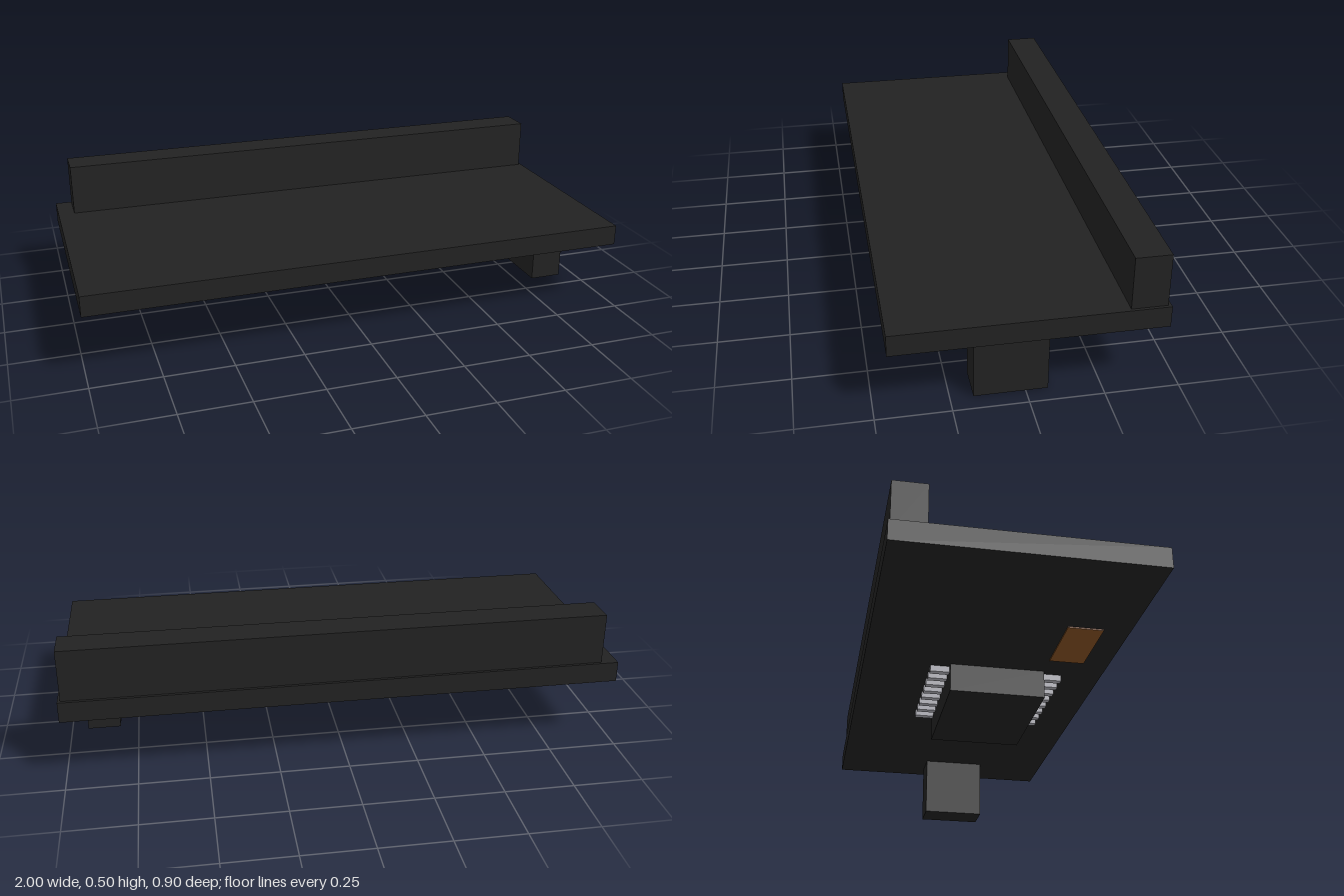
import * as THREE from 'three';

export function createModel() {
  const model = new THREE.Group();
  const material = (name, color) => Object.assign(new THREE.MeshStandardMaterial({ color }), { name });
  const black = material('black plastic', 0x222222);
  const silver = material('silver metal', 0xb0b0b8);
  const copper = material('copper brown', 0x8b5424);

  // Box given by its extents along each axis
  function box(name, mat, [x0, x1], [y0, y1], [z0, z1], parent = model) {
    const mesh = new THREE.Mesh(new THREE.BoxGeometry(x1 - x0, y1 - y0, z1 - z0), mat);
    mesh.position.set((x0 + x1) / 2, (y0 + y1) / 2, (z0 + z1) / 2);
    mesh.name = name;
    parent.add(mesh);
    return mesh;
  }

  // Flat board with a long raised header along the back edge
  box('board', black, [-1, 1], [0.24, 0.315], [-0.452, 0.452]);
  box('backHeader', black, [-0.94, 0.99], [0.315, 0.502], [-0.441, -0.32]);

  // Connector block hanging below
  box('lowerConnector', black, [0.818, 0.94], [0, 0.24], [-0.075, 0.173]);

  // Chip with a row of pins on each long side
  box('chipBody', black, [-0.2, 0.29], [0.132, 0.24], [-0.13, 0.228]);
  const pins = new THREE.Group();
  pins.name = 'chipPins';
  model.add(pins);
  for (let i = 0; i < 8; i++) {
    const x = -0.165 + i * 0.06;
    const width = [x - 0.012, x + 0.012];
    box('frontPin', silver, width, [0.216, 0.24], [0.228, 0.3], pins);
    box('backPin', silver, width, [0.216, 0.24], [-0.202, -0.13], pins);
  }

  // Small flat component on the underside
  box('flatComponent', copper, [-0.565, -0.3], [0.235, 0.24], [0.225, 0.354]);

  return model;
}
